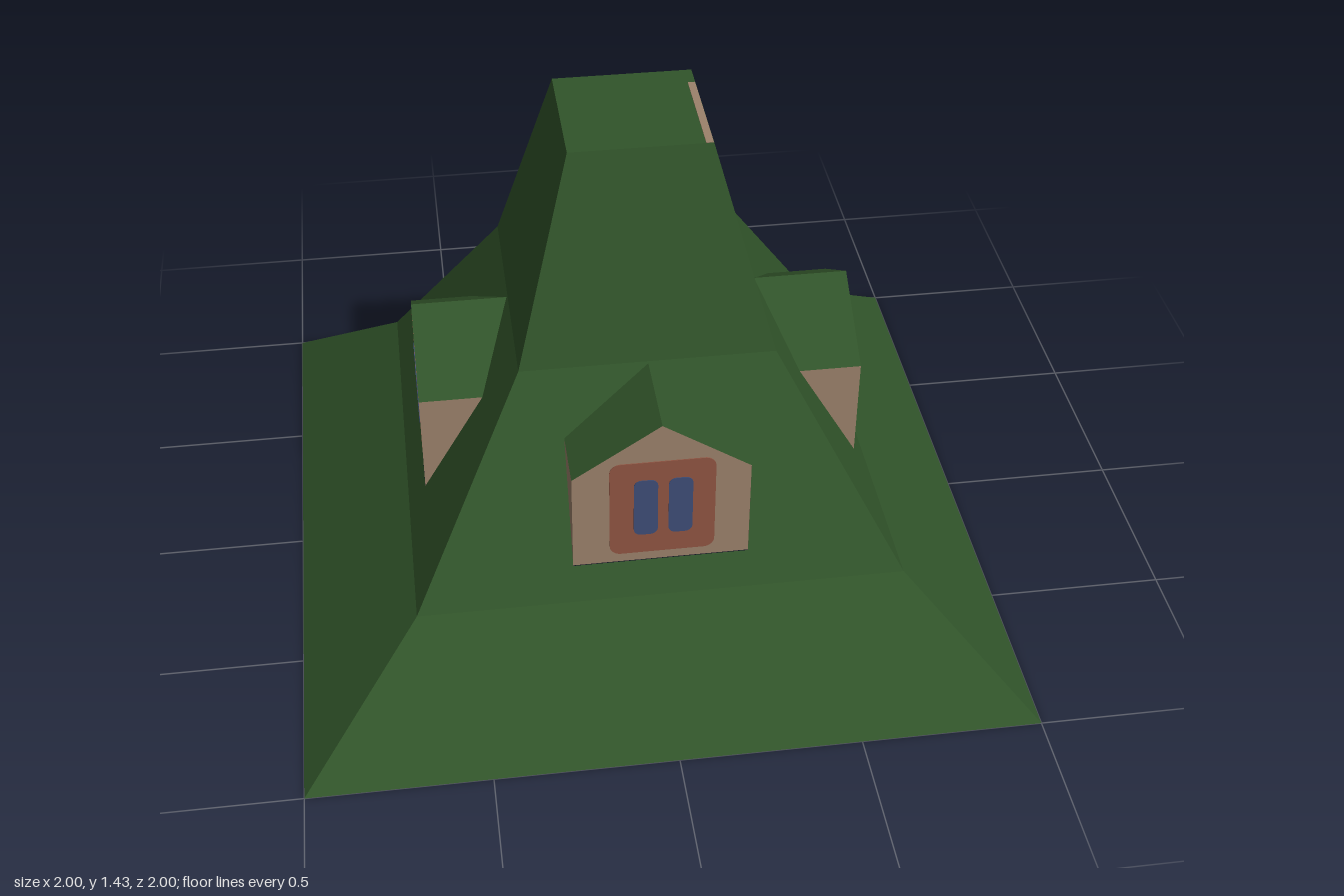
import * as THREE from 'three';

const material = (name, color) =>
  new THREE.MeshStandardMaterial({ name, color, side: THREE.DoubleSide });

// roof outline as [half width, height], from eaves to flat top
const PROFILE = [[1, 0], [0.67, 0.3], [0.35, 0.855], [0.192, 1.43]];
const FRONT = 0.62, HALF = 0.24, SILL = 0.386, EAVE = 0.69, RIDGE = 0.85;

// distance of the roof slope from the centre at a height
function slopeAt(y) {
  let i = 0;
  while (i < PROFILE.length - 2 && y > PROFILE[i + 1][1]) i++;
  const [r0, y0] = PROFILE[i], [r1, y1] = PROFILE[i + 1];
  return r0 + ((r1 - r0) * (y - y0)) / (y1 - y0);
}

// flat polygon from its corners, counter-clockwise from outside
function polygon(points) {
  const g = new THREE.BufferGeometry();
  const corners = [];
  for (let i = 1; i < points.length - 1; i++) corners.push(points[0], points[i], points[i + 1]);
  g.setAttribute('position', new THREE.Float32BufferAttribute(corners.flat(), 3));
  g.computeVertexNormals();
  return g;
}

const outline = (pts) => pts.map(([x, y]) => new THREE.Vector2(x, y));
const gablePoints = outline([[-HALF, SILL], [HALF, SILL], [HALF, EAVE], [0, RIDGE], [-HALF, EAVE]]);

function roundedPlate(x0, x1, y0, y1, r, depth) {
  const s = new THREE.Shape();
  s.absarc(x1 - r, y0 + r, r, -Math.PI / 2, 0);
  s.absarc(x1 - r, y1 - r, r, 0, Math.PI / 2);
  s.absarc(x0 + r, y1 - r, r, Math.PI / 2, Math.PI);
  s.absarc(x0 + r, y0 + r, r, Math.PI, Math.PI * 1.5);
  const g = new THREE.ExtrudeGeometry(s, { depth, bevelEnabled: false, curveSegments: 5 });
  return g.translate(0, 0, FRONT - 0.002 - depth / 2);
}

export function createModel() {
  const green = material('roof green', 0x31542a);
  const tan = material('wall tan', 0x9c826b);
  const red = material('frame red', 0x905543);
  const blue = material('glass blue', 0x3f4e78);

  const model = new THREE.Group();
  model.name = 'roof';
  const add = (parent, name, geometry, mat) => {
    const mesh = new THREE.Mesh(geometry, mat);
    mesh.name = name;
    parent.add(mesh);
    return mesh;
  };

  for (let side = 0; side < 4; side++) {
    const face = new THREE.Group();
    face.name = 'roofSide';
    face.rotation.y = (side * Math.PI) / 2;
    model.add(face);

    // three sloping bands; the middle one is open behind the dormer
    for (let i = 0; i < 3; i++) {
      const [r0, y0] = PROFILE[i], [r1, y1] = PROFILE[i + 1];
      const shape = new THREE.Shape(outline([[-r0, y0], [r0, y0], [r1, y1], [-r1, y1]]));
      if (i === 1) shape.holes.push(new THREE.Path(gablePoints));
      const g = new THREE.ShapeGeometry(shape);
      const p = g.attributes.position;
      for (let k = 0; k < p.count; k++) p.setZ(k, slopeAt(p.getY(k)));
      g.computeVertexNormals();
      add(face, 'roofSlope', g, green);
    }

    // dormer
    const dormer = new THREE.Group();
    dormer.name = 'dormer';
    face.add(dormer);
    const gable = new THREE.ShapeGeometry(new THREE.Shape(gablePoints));
    add(dormer, 'dormerGable', gable.translate(0, 0, FRONT - 0.002), tan);
    for (const s of [1, -1]) {
      const x = s * HALF;
      const cheek = [[x, SILL, FRONT], [x, EAVE, slopeAt(EAVE)], [x, EAVE, FRONT]];
      const pitch = [[x, EAVE, FRONT], [x, EAVE, slopeAt(EAVE)],
        [0, RIDGE, slopeAt(RIDGE)], [0, RIDGE, FRONT]];
      if (s < 0) { cheek.reverse(); pitch.reverse(); }
      add(dormer, 'dormerCheek', polygon(cheek), tan);
      add(dormer, 'dormerRoof', polygon(pitch), green);
    }

    // window, showing on both faces of the gable
    add(dormer, 'windowFrame', roundedPlate(-0.14, 0.145, 0.415, 0.73, 0.03, 0.005), red);
    for (const x of [-0.075, 0.019])
      add(dormer, 'windowPane', roundedPlate(x, x + 0.065, 0.48, 0.67, 0.02, 0.009), blue);
  }

  // flat top with a narrow strip along one edge
  const [topHalf, topY] = PROFILE[3];
  const top = new THREE.PlaneGeometry(topHalf * 2, topHalf * 2).rotateX(-Math.PI / 2);
  add(model, 'roofTop', top, green).position.y = topY;
  const strip = new THREE.BoxGeometry(0.02, 0.003, 0.312);
  add(model, 'topStrip', strip, tan).position.set(0.181, topY + 0.001, 0.036);

  return model;
}
